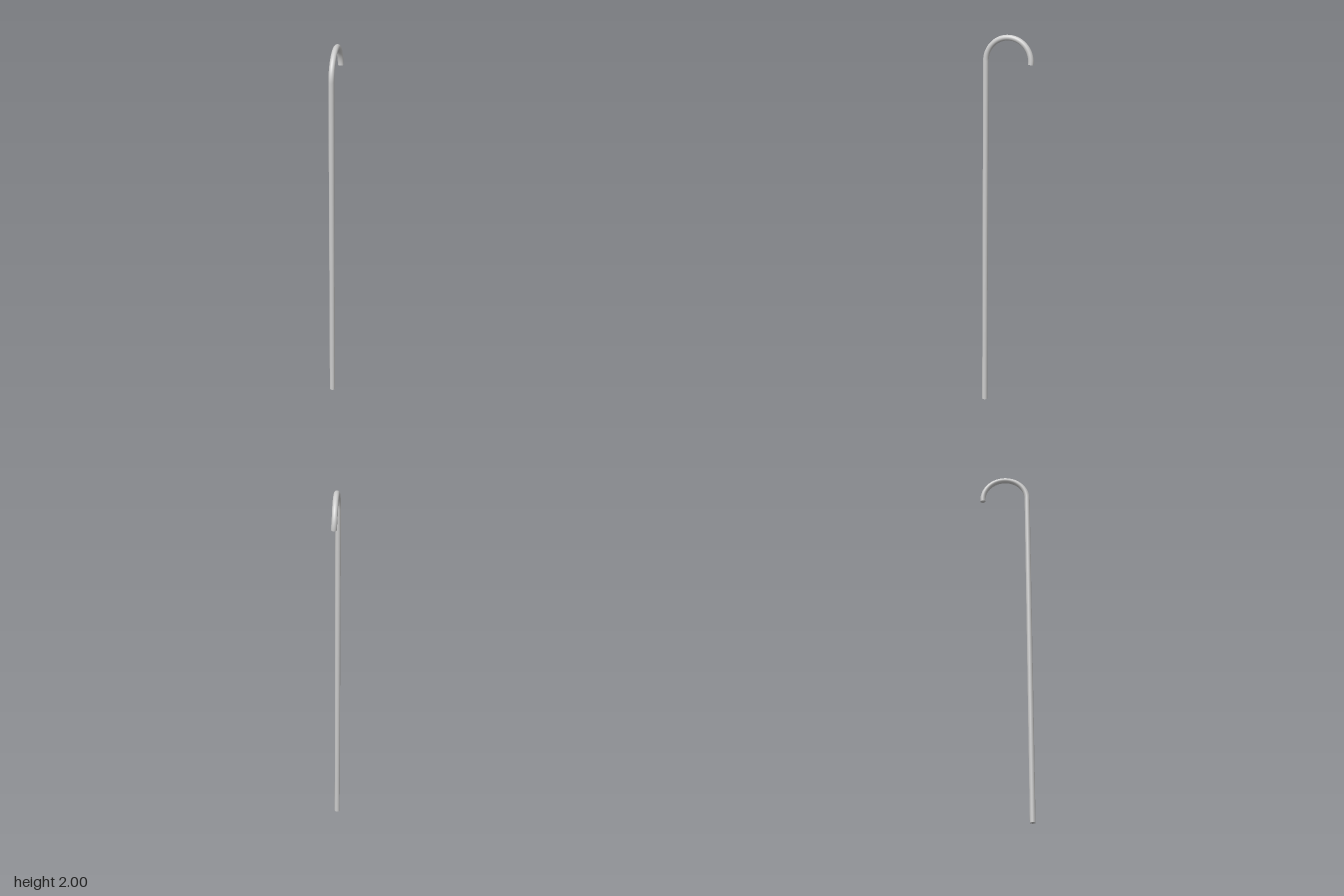
import * as THREE from 'three';

const RADIUS = 0.0145;
const SIDES = 24;

// Half-circle crook, running from the top of the shaft over to the tip
class CrookCurve extends THREE.Curve {
  getPoint(t, target = new THREE.Vector3()) {
    const a = t * Math.PI * 1.025;
    const drift = 0.003 * Math.max(0, (t - 0.85) / 0.15);
    return target.set(-0.003 + drift, 1.8615 + 0.124 * Math.sin(a), -0.0065 + 0.124 * Math.cos(a));
  }
}

export function createModel() {
  const group = new THREE.Group();
  group.name = 'walkingCane';
  const material = new THREE.MeshStandardMaterial({ color: 0xcccccc });

  const add = (name, geometry) => {
    const mesh = new THREE.Mesh(geometry, material);
    mesh.name = name;
    group.add(mesh);
    return mesh;
  };
  const addTube = (name, curve, segments) =>
    add(name, new THREE.TubeGeometry(curve, segments, RADIUS, SIDES, false));
  // Flat disc closing a tube end, facing along dir
  const addCap = (name, position, dir) => {
    const cap = add(name, new THREE.CircleGeometry(RADIUS, SIDES));
    cap.position.copy(position);
    cap.quaternion.setFromUnitVectors(new THREE.Vector3(0, 0, 1), dir);
  };

  // Straight shaft, leaning very slightly, meeting the crook
  const crook = new CrookCurve();
  const foot = new THREE.Vector3(0.002, 0, 0.131);
  const shaft = new THREE.LineCurve3(foot, crook.getPoint(0));
  addTube('shaft', shaft, 4);
  addTube('crookHandle', crook, 40);

  // Closed ends
  addCap('footCap', foot, shaft.getTangent(0).negate());
  addCap('handleTipCap', crook.getPoint(1), crook.getTangent(1));

  return group;
}
